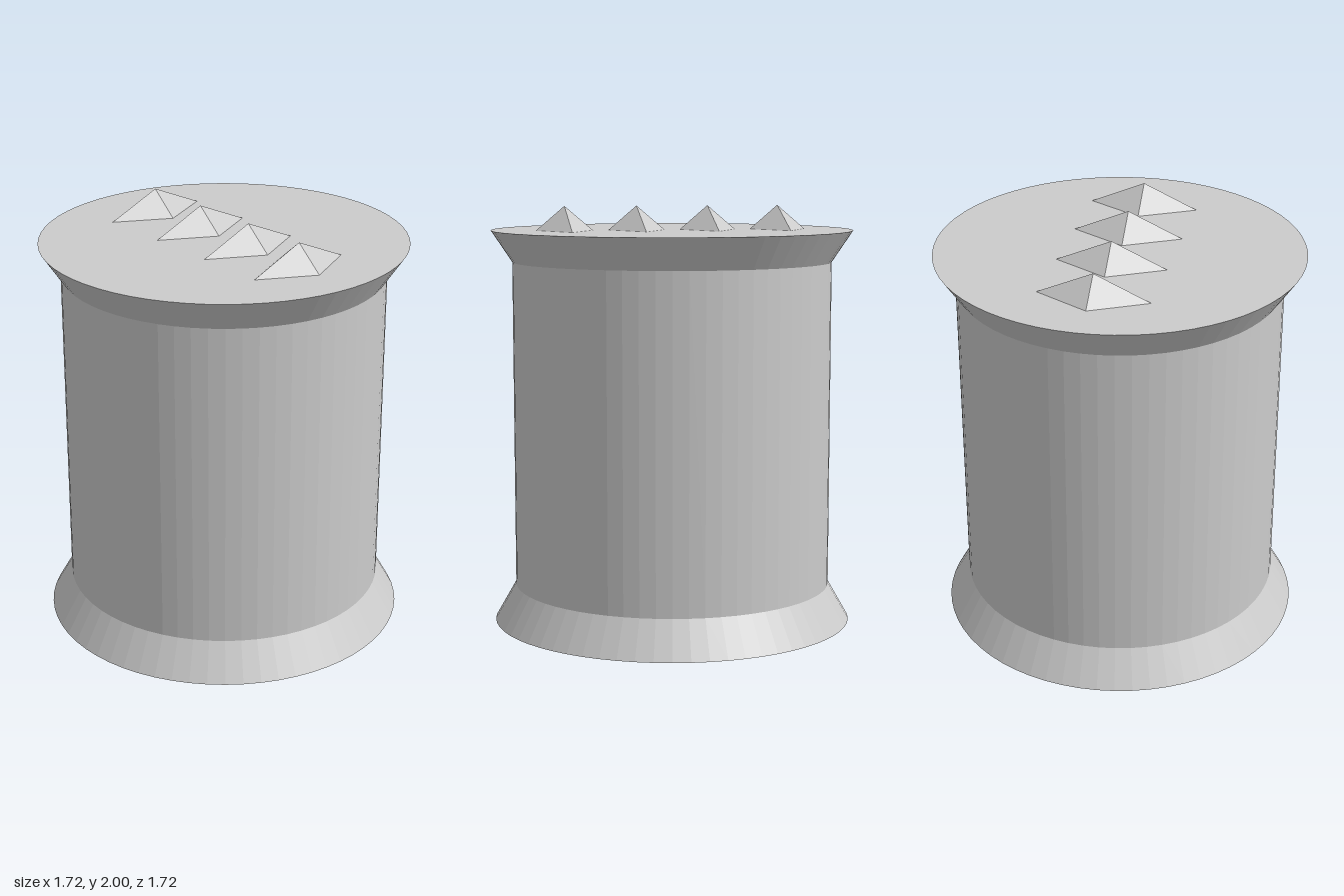
import * as THREE from 'three';

const SEGMENTS = 64;

export function createModel() {
  const group = new THREE.Group();
  const material = new THREE.MeshStandardMaterial({ color: 0xcccccc, flatShading: true });

  const addPart = (name, geometry, x, y) => {
    const mesh = new THREE.Mesh(geometry, material);
    mesh.name = name;
    mesh.position.set(x, y, 0);
    group.add(mesh);
  };

  // Spool: flared foot, straight drum, flared rim, closed at both ends
  const profile = [
    [0, 0], [0.862, 0], [0.762, 0.175], [0.762, 1.735], [0.862, 1.885], [0, 1.885],
  ].map(([r, y]) => new THREE.Vector2(r, y));
  addPart('spoolBody', new THREE.LatheGeometry(profile, SEGMENTS), 0, 0);

  // Row of four diamond-based pyramid studs on the top
  const studHeight = 0.115;
  for (let i = 0; i < 4; i++) {
    const stud = new THREE.ConeGeometry(1, studHeight, 4, 1, true).scale(0.136, 1, 0.259);
    addPart(`topStud${i + 1}`, stud, (i - 1.5) * 0.345, 1.885 + studHeight / 2);
  }

  return group;
}
